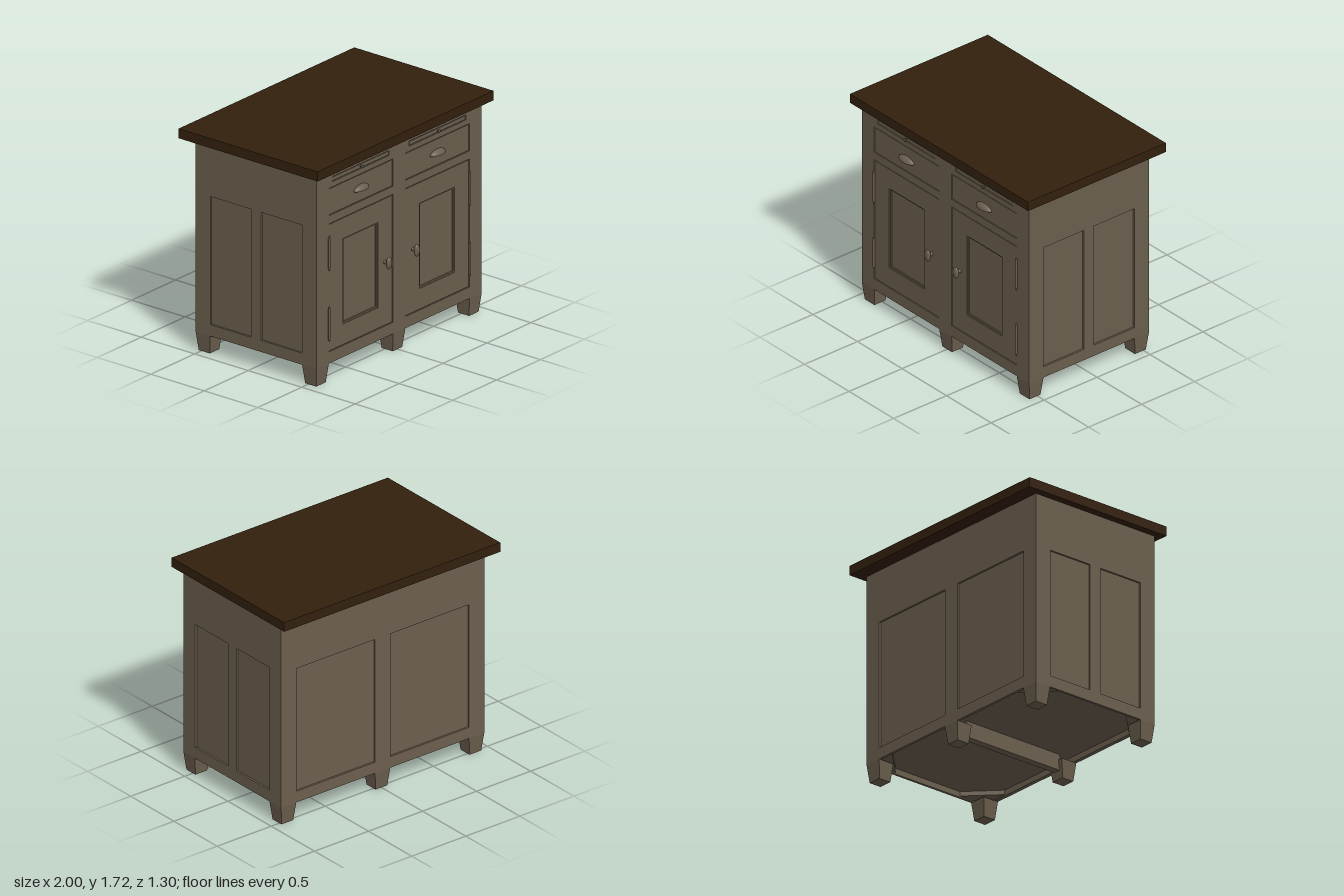
import * as THREE from 'three';

const paint = new THREE.MeshStandardMaterial({ color: 0x6b5f4e });
paint.name = 'taupe paint';
const cupPaint = paint.clone();
cupPaint.side = THREE.DoubleSide;
const wood = new THREE.MeshStandardMaterial({ color: 0x33200e });
wood.name = 'dark wood';

// Body extents
const X = 0.94, ZF = 0.59, ZB = -0.54, ZM = (ZF + ZB) / 2, HALF = (ZF - ZB) / 2;
const Y0 = 0.145, Y1 = 1.645, T = 0.02;

function add(parent, name, geo, x = 0, y = 0, z = 0, mat = paint) {
  const m = new THREE.Mesh(geo, mat);
  m.name = name;
  m.position.set(x, y, z);
  parent.add(m);
  return m;
}

// Box given by its limits on each axis
function block(parent, name, [x0, x1], [y0, y1], [z0, z1], mat = paint) {
  return add(parent, name, new THREE.BoxGeometry(x1 - x0, y1 - y0, z1 - z0),
    (x0 + x1) / 2, (y0 + y1) / 2, (z0 + z1) / 2, mat);
}

function rectPath(path, [x0, x1, y0, y1]) {
  path.moveTo(x0, y0).lineTo(x1, y0).lineTo(x1, y1).lineTo(x0, y1).closePath();
  return path;
}

// Flat frame with rectangular openings; rectangles are [x0, x1, y0, y1]
function frame(outer, holes, depth) {
  const shape = rectPath(new THREE.Shape(), outer);
  for (const h of holes) shape.holes.push(rectPath(new THREE.Path(), h));
  return new THREE.ExtrudeGeometry(shape, { depth, bevelEnabled: false });
}

const mirror = ([x0, x1, y0, y1]) => [-x1, -x0, y0, y1];
const place = (r, s) => (s > 0 ? r : mirror(r));
const inset = ([x0, x1, y0, y1], d) => [x0 + d, x1 - d, y0 + d, y1 - d];

// Foot tapering inward towards the floor
function foot(parent, x0, x1, z0, z1) {
  const g = new THREE.BoxGeometry(x1 - x0, Y0, z1 - z0);
  const p = g.attributes.position;
  for (let i = 0; i < p.count; i++) {
    if (p.getY(i) < 0) {
      p.setX(i, p.getX(i) - Math.sign(p.getX(i)) * 0.016);
      p.setZ(i, p.getZ(i) - Math.sign(p.getZ(i)) * 0.016);
    }
  }
  const flat = g.toNonIndexed();
  flat.computeVertexNormals();
  add(parent, 'foot', flat, (x0 + x1) / 2, Y0 / 2, (z0 + z1) / 2);
}

const lathe = (pts, n = 24) =>
  new THREE.LatheGeometry(pts.map(([r, y]) => new THREE.Vector2(r, y)), n);

// Openings on the model's left half
const SLOT = [0.115, 0.76, 1.552, 1.592];
const DRAWER = [0.07, 0.80, 1.298, 1.512];
const DOOR = [0.07, 0.80, 0.235, 1.235];
const DOORPANEL = [0.237, 0.635, 0.402, 1.068];

function bay(s) {
  const g = new THREE.Group();
  g.name = s > 0 ? 'leftBay' : 'rightBay';
  const face = ZF - 0.002;

  // Pull-out board and drawer front
  for (const [name, rect] of [['pullOutBoard', SLOT], ['drawerFront', DRAWER]]) {
    const r = place(inset(rect, 0.006), s);
    block(g, name, [r[0], r[1]], [r[2], r[3]], [face - 0.024, face]);
  }

  // Door: frame, stepped moulding, recessed panel
  const door = place(inset(DOOR, 0.006), s), hole = place(DOORPANEL, s);
  add(g, 'doorFrame', frame(door, [hole], 0.024), 0, 0, face - 0.024);
  add(g, 'doorMoulding', frame(hole, [inset(hole, 0.012)], 0.012), 0, 0, face - 0.02);
  block(g, 'doorPanel', [hole[0], hole[1]], [hole[2], hole[3]], [face - 0.024, face - 0.017]);

  // Cup pull: quarter ellipsoid shell
  const cup = new THREE.SphereGeometry(1, 24, 10, 0, Math.PI, 0, Math.PI / 2);
  cup.scale(0.082, 0.038, 0.042);
  add(g, 'cupPull', cup, s * 0.435, 1.393, face, cupPaint);

  // Small board knob
  const small = lathe([[0.006, 0], [0.005, 0.01], [0.012, 0.016], [0.011, 0.022], [0, 0.026]], 16);
  small.rotateX(Math.PI / 2);
  add(g, 'boardKnob', small, s * 0.437, 1.572, face);

  // Oval door knob
  const stem = lathe([[0.016, 0], [0.012, 0.01], [0.012, 0.03]], 16);
  stem.rotateX(Math.PI / 2);
  add(g, 'knobStem', stem, s * 0.158, 0.735, face);
  const head = new THREE.SphereGeometry(1, 24, 16);
  head.scale(0.028, 0.048, 0.018);
  add(g, 'doorKnob', head, s * 0.158, 0.735, ZF + 0.036);

  // Barrel hinges with finials
  const hinge = lathe([[0, -0.138], [0.007, -0.131], [0.004, -0.124], [0.009, -0.118], [0.009, 0.118],
    [0.004, 0.124], [0.007, 0.131], [0, 0.138]], 12);
  for (const y of [0.455, 1.005]) add(g, 'hinge', hinge, s * 0.80, y, ZF + 0.005);
  return g;
}

export function createModel() {
  const model = new THREE.Group();
  model.name = 'kitchenIsland';

  block(model, 'worktop', [-1, 1], [Y1, 1.72], [-0.65, 0.65], wood);

  const body = new THREE.Group();
  body.name = 'body';
  model.add(body);

  // Front frame and the backing behind its gaps
  const openings = [SLOT, DRAWER, DOOR];
  add(body, 'frontFrame', frame([-X + T, X - T, Y0, Y1],
    [...openings, ...openings.map(mirror)], 0.03), 0, 0, ZF - 0.03);
  block(body, 'frontBacking', [-X + T, X - T], [0.2, Y1], [ZF - 0.04, ZF - 0.03]);

  // Back frame with two recessed panels
  const back = [0.07, 0.80, 0.235, 1.235];
  add(body, 'backFrame', frame([-X + T, X - T, Y0, Y1], [back, mirror(back)], T), 0, 0, ZB);
  block(body, 'backPanel', [-X + T, X - T], [0.2, Y1], [ZB + 0.015, ZB + 0.03]);

  // Side frames, each with two recessed panels
  const sidePanel = [0.048, 0.428, 0.235, 1.235];
  for (const s of [-1, 1]) {
    const side = add(body, 'sideFrame', frame([-HALF, HALF, Y0, Y1],
      [sidePanel, mirror(sidePanel)], T), s * (X - T), 0, ZM);
    side.rotation.y = s * Math.PI / 2;
    const xs = [s * (X - 0.015), s * (X - 0.03)].sort((a, b) => a - b);
    block(body, 'sidePanel', xs, [0.2, Y1], [ZB + T, ZF - T]);
  }

  // Underside: floor board, diagonal corner braces, centre rail
  block(body, 'floor', [-X + T, X - T], [0.19, 0.21], [ZB + T, ZF - 0.03]);
  for (const sx of [-1, 1]) {
    for (const sz of [-1, 1]) {
      const cx = sx * (X - T), cz = ZM + sz * (HALF - T);
      const tri = new THREE.Shape();
      tri.moveTo(cx, -cz).lineTo(cx - sx * 0.24, -cz).lineTo(cx, -cz + sz * 0.24).closePath();
      const brace = new THREE.ExtrudeGeometry(tri, { depth: 0.035, bevelEnabled: false });
      brace.rotateX(-Math.PI / 2);
      add(body, 'cornerBrace', brace, 0, 0.155, 0);
    }
  }
  block(body, 'centreRail', [-0.03, 0.03], [0.065, 0.19], [-0.42, 0.47]);

  // Six tapered feet
  for (const [z0, z1] of [[0.455, ZF], [ZB, -0.405]]) {
    for (const [x0, x1] of [[-X, -0.80], [-0.07, 0.07], [0.80, X]]) foot(body, x0, x1, z0, z1);
  }

  model.add(bay(1), bay(-1));
  return model;
}
